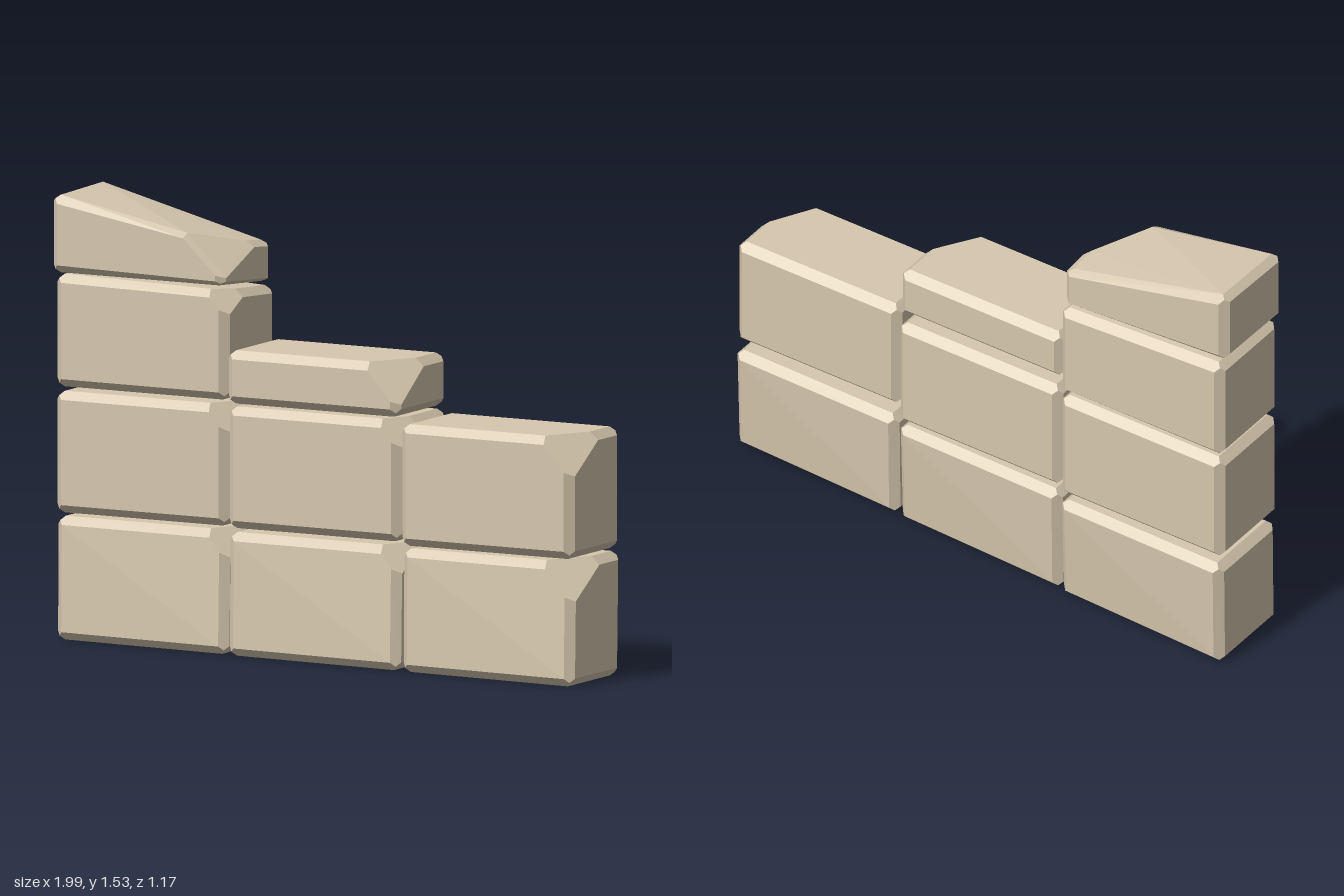
import * as THREE from 'three';
import { ConvexGeometry } from 'three/addons/geometries/ConvexGeometry.js';

const ANGLE = THREE.MathUtils.degToRad(22); // how far each stone is turned
const HALF_L = 0.334, HALF_D = 0.172, BEVEL = 0.028;
const stone = new THREE.MeshStandardMaterial({ color: 0xd6c7ae, flatShading: true });

// Corner points of a bevelled box of height h, with one top corner chipped off.
// chip = distances cut along the length, depth and height.
function chippedBoxPoints(h, chip) {
  const half = [HALF_L, h / 2, HALF_D];
  const planes = [];
  for (let i = 0; i < 3; i++) for (const s of [-1, 1]) {
    const n = [0, 0, 0];
    n[i] = s;
    planes.push([new THREE.Vector3(...n), half[i]]);
    const j = (i + 1) % 3;
    for (const t of [-1, 1]) {
      const e = [...n];
      e[j] = t;
      planes.push([new THREE.Vector3(...e), half[i] + half[j] - BEVEL]);
    }
  }
  const cut = new THREE.Vector3(1 / chip[0], 1 / chip[2], 1 / chip[1]);
  planes.push([cut, cut.dot(new THREE.Vector3(...half)) - 1]);

  // Keep every meeting point of three planes that lies inside all the others
  const points = [], cross = new THREE.Vector3();
  for (let a = 0; a < planes.length; a++)
    for (let b = a + 1; b < planes.length; b++)
      for (let c = b + 1; c < planes.length; c++) {
        const [[na, da], [nb, db], [nc, dc]] = [planes[a], planes[b], planes[c]];
        const det = na.dot(cross.crossVectors(nb, nc));
        if (Math.abs(det) < 1e-6) continue;
        const p = cross.clone().multiplyScalar(da)
          .addScaledVector(cross.crossVectors(nc, na), db)
          .addScaledVector(cross.crossVectors(na, nb), dc)
          .divideScalar(det);
        if (planes.every(([n, d]) => n.dot(p) < d + 1e-6) &&
            points.every((q) => q.distanceTo(p) > 1e-4)) points.push(p);
      }
  return points;
}

// Blend four corner values: back left, back right, front left, front right
function blend([bl, br, fl, fr], u, v) {
  return (bl * (1 - u) + br * u) * (1 - v) + (fl * (1 - u) + fr * u) * v;
}

// bottom and top hold the heights of the four corners; skew shifts z
function makeStone(name, x, z, bottom, top, chip, skew = () => 0) {
  const h = (top[0] + top[2] - bottom[0] - bottom[2]) / 2;
  const points = chippedBoxPoints(h, chip).map((p) => {
    const u = (p.x / HALF_L + 1) / 2, v = (p.z / HALF_D + 1) / 2, t = p.y / h + 0.5;
    const y = THREE.MathUtils.lerp(blend(bottom, u, v), blend(top, u, v), t);
    const c = Math.cos(ANGLE), s = Math.sin(ANGLE);
    return new THREE.Vector3(x + p.x * c - p.z * s, y, z + p.x * s + p.z * c + skew(u, t));
  });
  const mesh = new THREE.Mesh(new ConvexGeometry(points), stone);
  mesh.name = name;
  return mesh;
}

const level = (y) => [y, y, y, y];

export function createModel() {
  const wall = new THREE.Group();
  wall.name = 'steppedStoneWall';

  // Two full courses, the lower one leaning back and slightly twisted
  const lean = (u, t) => THREE.MathUtils.lerp(0.005 + 0.03 * (u - 0.5), -0.02 + 0.01 * (u - 0.5), t);
  const columns = [
    { side: 'right', x: -0.62, z: -0.291, chip: [0.09, 0.18, 0.11] },
    { side: 'middle', x: 0.003, z: -0.013, chip: [0.09, 0.18, 0.11] },
    { side: 'left', x: 0.633, z: 0.312, chip: [0.13, 0.23, 0.15] },
  ];
  columns.forEach(({ side, x, z, chip }, i) => {
    wall.add(makeStone(`${side}BaseStone`, x, (i - 1) * 0.291, level(0), level(0.42), chip, lean));
    wall.add(makeStone(`${side}SecondStone`, x, z, level(0.435), level(0.85), chip));
  });

  // Third course: a tall stone and a half-height stone
  wall.add(makeStone('tallUpperStone', -0.62, -0.291, level(0.865),
    [1.25, 1.215, 1.25, 1.24], [0.09, 0.16, 0.1]));
  wall.add(makeStone('halfHeightStone', 0.004, 0.022, level(0.865), level(1.047), [0.14, 0.22, 0.16]));

  // Sloping cap stone
  wall.add(makeStone('slopingCapStone', -0.632, -0.28,
    [1.26, 1.23, 1.255, 1.258], [1.535, 1.365, 1.525, 1.4], [0.17, 0.25, 0.25]));
  return wall;
}
